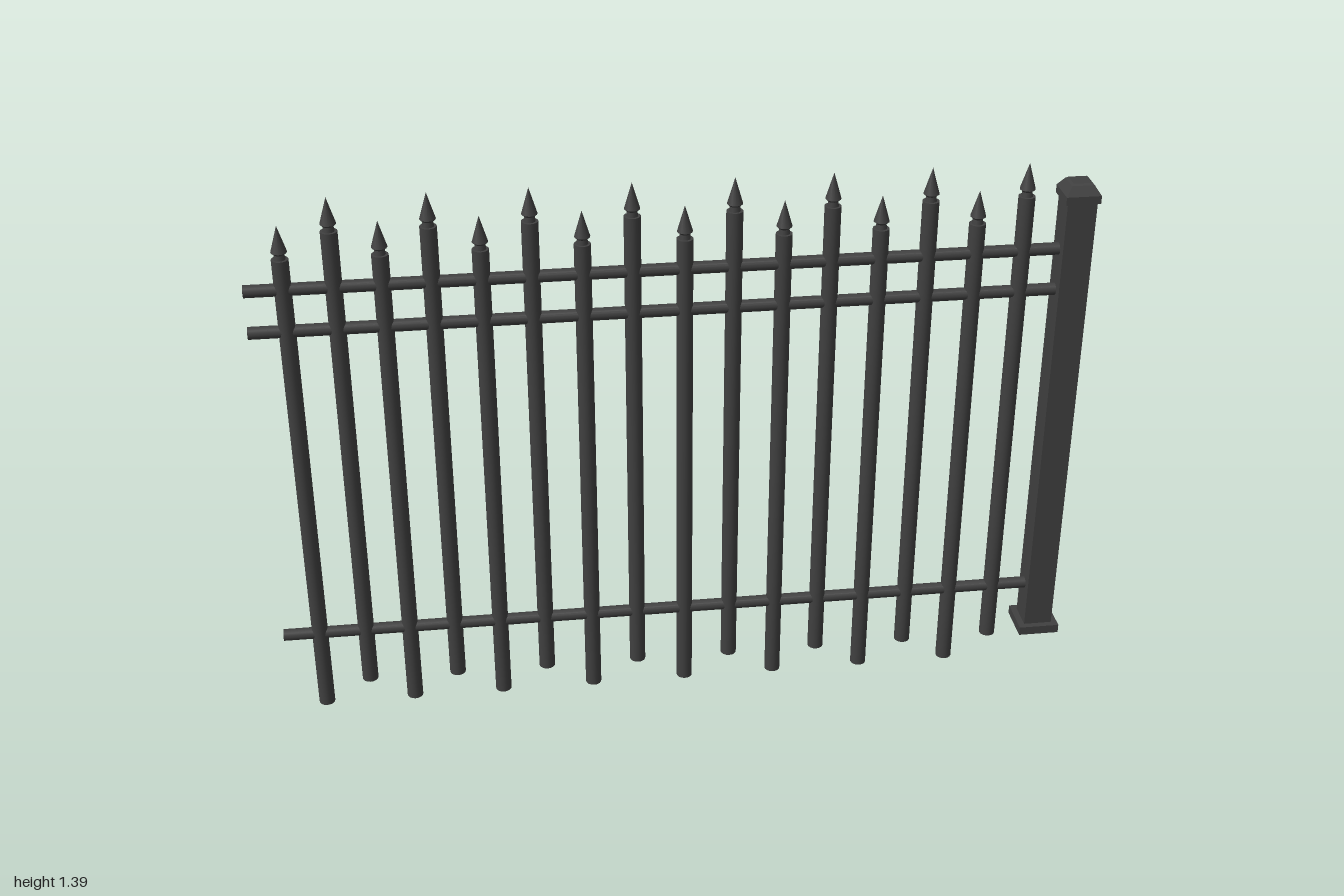
import * as THREE from 'three';

export function createModel() {
  const fence = new THREE.Group();
  fence.name = 'fencePanel';
  const iron = new THREE.MeshStandardMaterial({ color: 0x404040 });
  iron.name = 'dark iron';
  const ironFaceted = iron.clone();
  ironFaceted.flatShading = true;

  const add = (parent, name, geometry, x, y, z = 0, material = iron) => {
    const mesh = new THREE.Mesh(geometry, material);
    mesh.name = name;
    mesh.position.set(x, y, z);
    parent.add(mesh);
    return mesh;
  };

  // Pickets alternate between low and raised, each with a necked spear point
  const shaftHeight = 1.242, raise = 0.063;
  const shaft = new THREE.CylinderGeometry(0.02, 0.02, shaftHeight, 16);
  const collar = new THREE.CylinderGeometry(0.012, 0.014, 0.014, 12);
  const flare = new THREE.CylinderGeometry(0.019, 0.012, 0.006, 12);
  const point = new THREE.ConeGeometry(0.019, 0.064, 12);
  const picketX = [-0.91, -0.795, -0.685, -0.572, -0.457, -0.342, -0.223, -0.107,
    0.015, 0.131, 0.248, 0.361, 0.478, 0.593, 0.709, 0.823];
  picketX.forEach((x, i) => {
    const picket = new THREE.Group();
    picket.name = 'picket';
    picket.position.set(x, i % 2 ? raise : 0, 0);
    add(picket, 'shaft', shaft, 0, shaftHeight / 2);
    add(picket, 'spearNeck', collar, 0, shaftHeight + 0.006);
    add(picket, 'spearFlare', flare, 0, shaftHeight + 0.015);
    add(picket, 'spearPoint', point, 0, shaftHeight + 0.05);
    fence.add(picket);
  });

  // Round rails running into the post
  const railEnd = 0.93;
  const rail = new THREE.CylinderGeometry(0.015, 0.015, 1 + railEnd, 16).rotateZ(Math.PI / 2);
  for (const y of [0.213, 1.06, 1.166]) add(fence, 'rail', rail, (railEnd - 1) / 2, y);

  // Square post with foot plate and stepped, bevelled cap
  const post = new THREE.Group();
  post.name = 'post';
  post.position.x = 0.948;
  fence.add(post);
  add(post, 'postShaft', new THREE.BoxGeometry(0.072, 1.2, 0.072), 0, 0.7);
  add(post, 'footPlate', new THREE.BoxGeometry(0.104, 0.023, 0.104), 0, 0.0925);
  add(post, 'capBase', new THREE.BoxGeometry(0.084, 0.02, 0.084), 0, 1.303);
  const bevel = (top, bottom, height) =>
    new THREE.CylinderGeometry(top * Math.SQRT2, bottom * Math.SQRT2, height, 4).rotateY(Math.PI / 4);
  add(post, 'capBevel', bevel(0.027, 0.042, 0.022), 0, 1.324, 0, ironFaceted);
  add(post, 'capTop', bevel(0.022, 0.027, 0.004), 0, 1.337, 0, ironFaceted);

  return fence;
}
